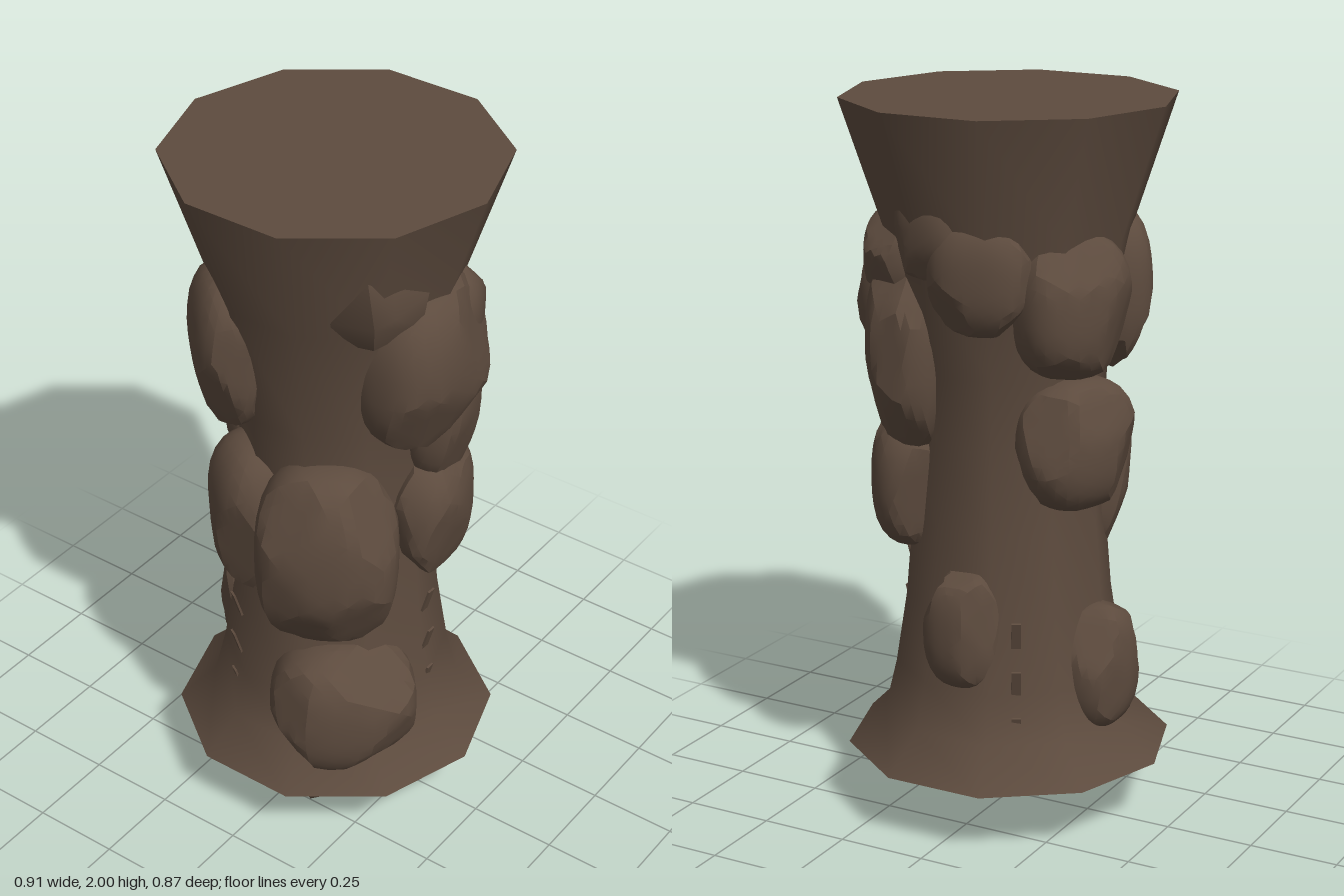
import * as THREE from 'three';
import { toCreasedNormals } from 'three/addons/utils/BufferGeometryUtils.js';
import { ConvexGeometry } from 'three/addons/geometries/ConvexGeometry.js';

const rockBrown = new THREE.MeshStandardMaterial({ color: 0x5d4b3e });
rockBrown.name = 'rockBrown';

// Small seeded generator for the boulder facets
function seeded(seed) {
  let s = seed * 7919 + 17;
  return () => (s = (s * 16807) % 2147483647) / 2147483647;
}

// Blocky boulder: a squarish ellipsoid with a few faces chiselled flat
function boulderGeometry(width, height, depth, seed) {
  const rand = seeded(seed);
  rand(); rand();
  const cuts = [];
  for (let i = 0; i < 9; i++) {
    const n = new THREE.Vector3(rand() - 0.5, rand() - 0.5, rand() - 0.5).normalize();
    cuts.push({ n, d: 0.88 + 0.12 * rand() });
  }
  const geo = new THREE.IcosahedronGeometry(1, 5);
  const pos = geo.attributes.position;
  const v = new THREE.Vector3();
  const power = 2.6;
  for (let i = 0; i < pos.count; i++) {
    v.fromBufferAttribute(pos, i).normalize();
    const sum = Math.abs(v.x) ** power + Math.abs(v.y) ** power + Math.abs(v.z) ** power;
    let r = sum ** (-1 / power);
    for (const { n, d } of cuts) {
      const k = v.dot(n);
      if (k > 0.3) r = Math.min(r, d / k);
    }
    pos.setXYZ(i, v.x * r * width, v.y * r * height, v.z * r * depth);
  }
  geo.deleteAttribute('uv');
  return toCreasedNormals(geo, 0.35);
}

// Angular chunk from a handful of corners
function chunkGeometry(corners) {
  const geo = new ConvexGeometry(corners.map((p) => new THREE.Vector3(...p)));
  return toCreasedNormals(geo, 0.6);
}

export function createModel() {
  const group = new THREE.Group();
  const add = (name, geo, parent = group) => {
    const mesh = new THREE.Mesh(geo, rockBrown);
    mesh.name = name;
    parent.add(mesh);
    return mesh;
  };

  // Ten-sided waisted column, flared at both ends
  const profile = [
    [0.455, 0.18], [0.35, 0.285], [0.318, 0.42], [0.287, 0.62], [0.268, 0.85],
    [0.258, 1.08], [0.272, 1.28], [0.335, 1.64], [0.455, 2],
  ].map(([r, y]) => new THREE.Vector2(r, y));
  const shaft = new THREE.LatheGeometry(profile, 10, Math.PI / 2);
  add('columnShaft', toCreasedNormals(shaft, 0.9));
  for (const [name, y, turn] of [['columnTop', 2, -1], ['columnBase', 0.18, 1]]) {
    const cap = add(name, new THREE.CircleGeometry(0.455, 10));
    cap.rotation.x = turn * Math.PI / 2;
    cap.position.y = y;
  }

  // Boulders turned to face outward: centre, then half width, height and depth
  const boulders = [
    [-0.19, 1.465, 0.222, 0.155, 0.23, 0.1],
    [-0.25, 1.48, -0.12, 0.165, 0.195, 0.12],
    [-0.06, 1.565, -0.255, 0.145, 0.16, 0.105],
    [0.08, 1.66, -0.25, 0.13, 0.15, 0.095],
    [0.275, 1.48, 0.0, 0.2, 0.245, 0.15],
    [0.25, 1.57, -0.13, 0.13, 0.135, 0.11],
    [0.232, 1.31, -0.15, 0.195, 0.275, 0.115],
    [0.24, 0.95, -0.095, 0.175, 0.2, 0.12],
    [-0.25, 1.1, -0.085, 0.175, 0.18, 0.125],
    [0.13, 0.91, 0.22, 0.195, 0.29, 0.155],
    [-0.122, 0.935, 0.19, 0.15, 0.24, 0.135],
    [0.0, 0.585, -0.255, 0.11, 0.17, 0.095],
    [-0.28, 0.45, -0.01, 0.125, 0.18, 0.105],
    [0.178, 0.4, 0.21, 0.205, 0.205, 0.15],
  ];
  boulders.forEach(([x, y, z, w, h, d], i) => {
    const boulder = add('boulder' + (i + 1), boulderGeometry(w, h, d, i + 3));
    boulder.position.set(x, y, z);
    boulder.rotation.y = Math.atan2(x, z);
  });

  // Pointed rock beneath the base
  add('hangingRock', chunkGeometry([
    [-0.05, 0.19, 0.14], [0.03, 0.1, 0.14], [0.14, 0, 0.18], [0.12, 0.05, 0.29],
    [0.12, 0.19, 0.36], [0.28, 0.19, 0.2], [0.15, 0.19, 0], [0.21, 0.09, 0.22],
    [0.25, 0.19, 0.3], [0.01, 0.19, 0.29], [0.04, 0.19, 0.03],
  ]));

  // Leaning chip near the top
  add('upperChip', chunkGeometry([
    [0.16, 1.61, 0.24], [0.19, 1.7, 0.285], [0.29, 1.84, 0.265], [0.3, 1.7, 0.25],
    [0.27, 1.61, 0.21], [0.34, 1.65, 0.1], [0.36, 1.76, 0.1], [0.33, 1.72, 0.2],
    [0.32, 1.8, 0.2], [0.2, 1.65, 0.1],
  ]));

  // Three rows of thin slivers leaning out from the shaft
  for (let row = 0; row < 3; row++) {
    const slivers = new THREE.Group();
    slivers.name = 'sliverRow' + (row + 1);
    slivers.rotation.y = -row * Math.PI * 2 / 3;
    slivers.position.y = -0.045 * row;
    [[0.307, 0.68, 0.08], [0.311, 0.545, 0.075], [0.316, 0.43, 0.035]].forEach(([r, y, h], i) => {
      const sliver = add('sliver' + (i + 1), new THREE.BoxGeometry(0.006, h, 0.026), slivers);
      sliver.position.set(r, y, -0.01);
      sliver.rotation.z = -0.28;
    });
    group.add(slivers);
  }
  return group;
}
